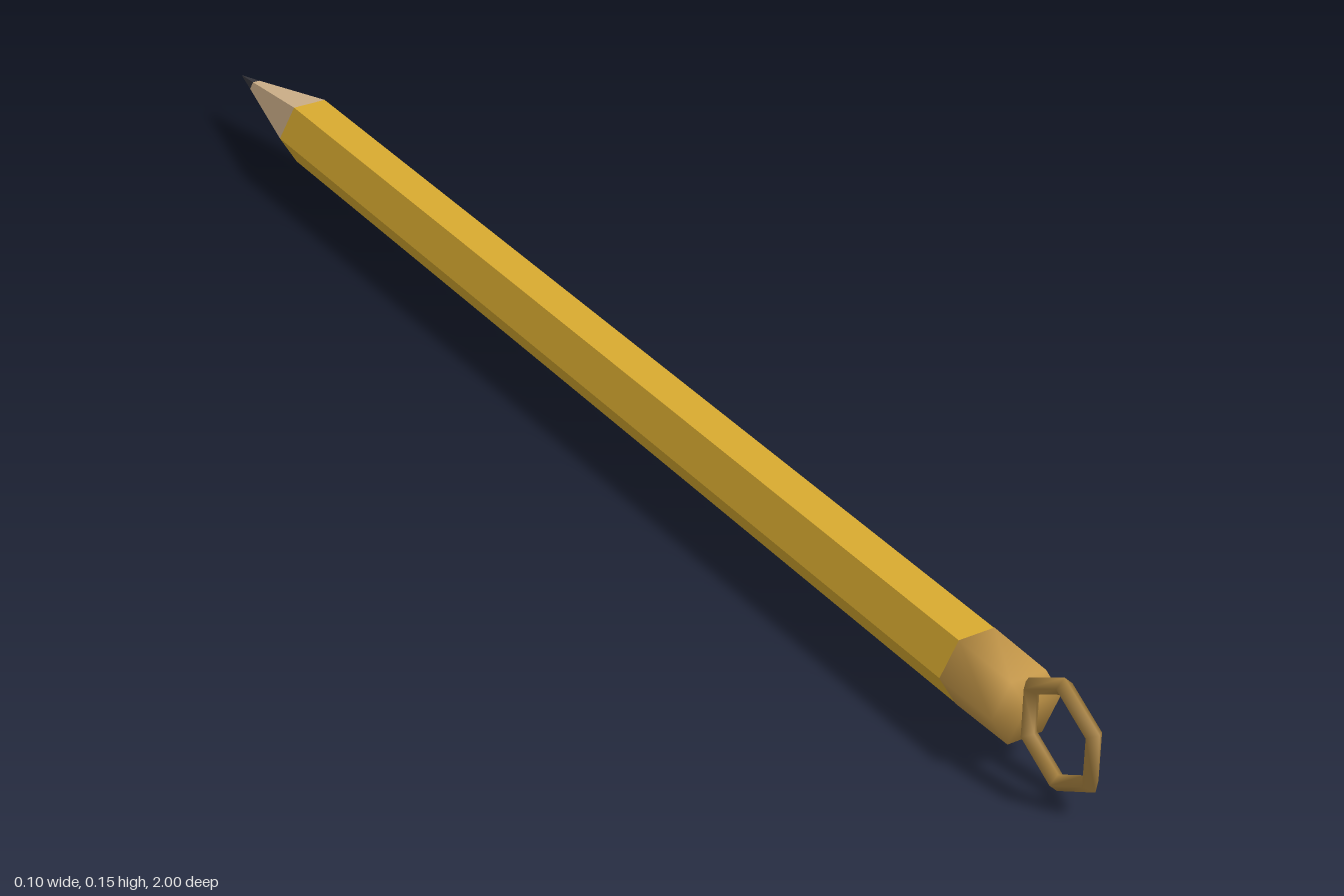
import * as THREE from 'three';
import { mergeVertices } from 'three/addons/utils/BufferGeometryUtils.js';

const AXIS_Y = 0.074;
const RADIUS = 0.048;

// Six-sided section along z, with corners at left and right
function hexSection(zBack, zFront, rBack, rFront, smooth = false) {
  let geo = new THREE.CylinderGeometry(rFront, rBack, zFront - zBack, 6);
  geo.rotateY(Math.PI / 2).rotateX(Math.PI / 2);
  geo.translate(0, AXIS_Y, (zBack + zFront) / 2);
  if (smooth) {
    geo.deleteAttribute('normal');
    geo.deleteAttribute('uv');
    geo = mergeVertices(geo);
  } else {
    geo = geo.toNonIndexed();
  }
  geo.computeVertexNormals();
  return geo;
}

export function createModel() {
  const group = new THREE.Group();
  const material = (name, color) => {
    const m = new THREE.MeshStandardMaterial({ color });
    m.name = name;
    return m;
  };
  const yellow = material('yellow paint', 0xd9ab30);
  const wood = material('bare wood', 0xd2b48c);
  const graphite = material('graphite', 0x34343a);
  const brass = material('brass', 0xc89a4a);
  const darkBrass = material('dark brass', 0xa88240);

  const add = (name, geometry, mat) => {
    const mesh = new THREE.Mesh(geometry, mat);
    mesh.name = name;
    group.add(mesh);
  };

  // Shaft and sharpened end
  const leadStart = -0.955, coneStart = -0.79;
  const leadRadius = RADIUS * (1 + leadStart) / (1 + coneStart);
  add('shaft', hexSection(coneStart, 0.78, RADIUS, RADIUS), yellow);
  add('woodCone', hexSection(leadStart, coneStart, leadRadius, RADIUS), wood);
  add('leadTip', hexSection(-1, leadStart, 0.0005, leadRadius), graphite);

  // Softly shaded end cap
  add('endCap', hexSection(0.78, 0.875, RADIUS + 0.0005, RADIUS - 0.001, true), brass);

  // Six-sided hanging ring, upright along the shaft
  const ring = new THREE.TorusGeometry(0.063, 0.011, 4, 6);
  ring.rotateZ(Math.PI / 2).rotateY(Math.PI / 2);
  ring.translate(0, AXIS_Y, 0.936);
  add('hangingRing', ring, darkBrass);

  return group;
}
